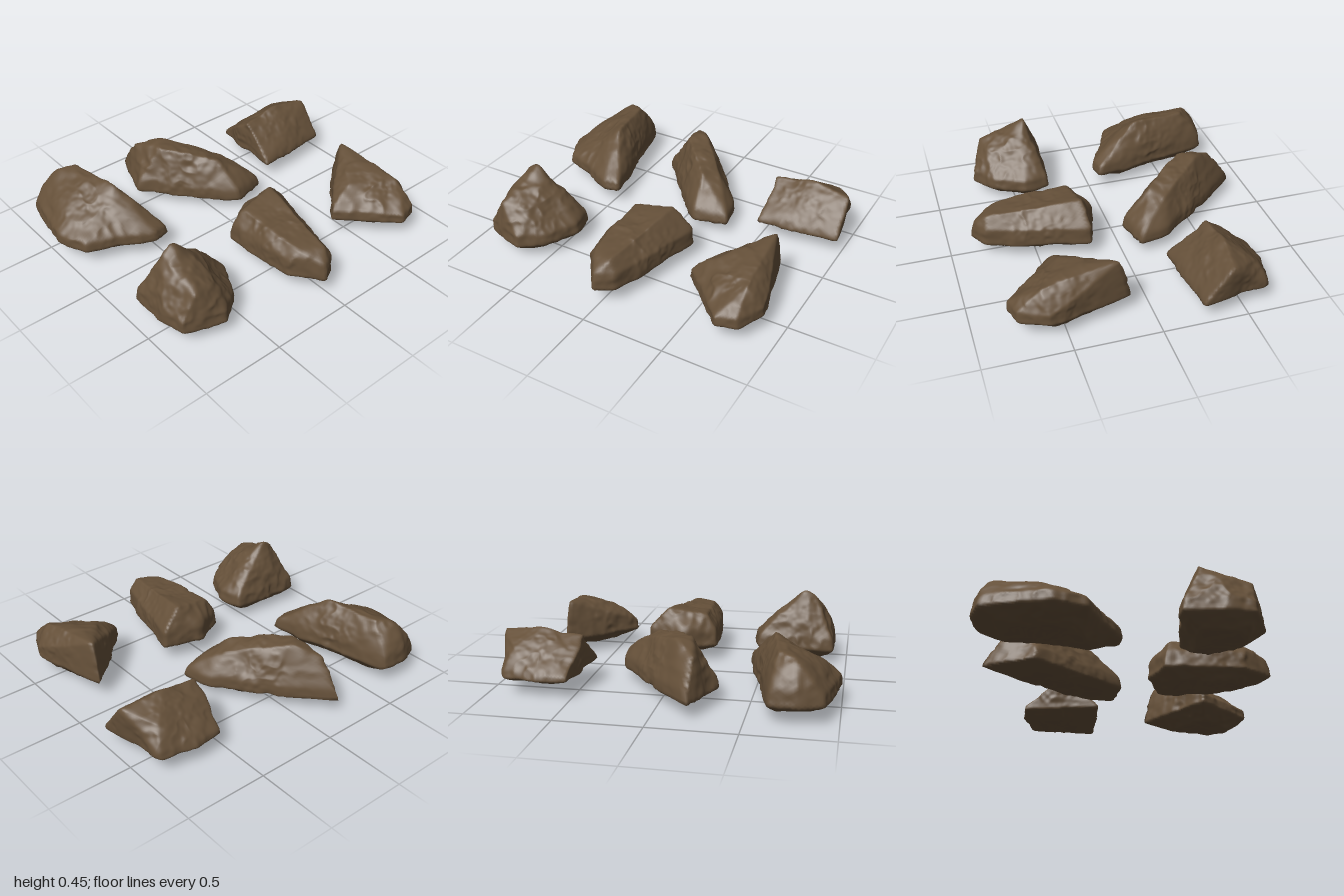
import * as THREE from 'three';
import { mergeVertices } from 'three/addons/utils/BufferGeometryUtils.js';
import { ConvexGeometry } from 'three/addons/geometries/ConvexGeometry.js';

const CORE_HEIGHT = 0.18;

// Seeded lattice noise, -1..1
function hash(x, y, z) {
  const s = Math.sin(x * 127.1 + y * 311.7 + z * 74.7) * 43758.5;
  return (s - Math.floor(s)) * 2 - 1;
}
function noise(p, frequency) {
  const [x, y, z] = p.toArray().map((c) => c * frequency);
  const [i, j, k] = [x, y, z].map(Math.floor);
  const ease = (t) => t * t * (3 - 2 * t), mix = THREE.MathUtils.lerp;
  const row = (b, c) => mix(hash(i, b, c), hash(i + 1, b, c), ease(x - i));
  const layer = (c) => mix(row(j, c), row(j + 1, c), ease(y - j));
  return mix(layer(k), layer(k + 1), ease(z - k));
}

// Corners of a rock: plan outline (x, z) as a band around the waist, a smaller copy at the base, ridge points on top
function rockCorners(core, [base, waist, band], outline, ridge) {
  const ring = (y, inset) => outline.map(([x, z]) => new THREE.Vector3(x, y, z).lerp(core, inset).setY(y));
  const top = ridge.map((p) => new THREE.Vector3(...p));
  return [...ring(base, 0.45), ...ring(waist, 0), ...ring(waist + band, 0.03), ...top];
}

// Face planes (normal, distance from the core) of the convex hull
function hullPlanes(points, core) {
  const p = new ConvexGeometry(points).attributes.position, planes = [];
  for (let i = 0; i < p.count; i += 3) {
    const [a, b, c] = [0, 1, 2].map((k) => new THREE.Vector3().fromBufferAttribute(p, i + k));
    const plane = new THREE.Plane().setFromCoplanarPoints(a, b, c);
    planes.push({ n: plane.normal, d: Math.max(0.015, -plane.distanceToPoint(core)) });
  }
  return planes;
}

// Distance from the core to the hull along a direction, with slightly rounded edges
function reach(planes, dir) {
  const sum = planes.reduce((s, { n, d }) => s + Math.max(0, n.dot(dir) / d) ** 60, 0);
  return 1.025 / sum ** (1 / 60);
}

// One rock: a sphere pushed out onto its hull, then roughened
function makeRock(name, material, heights, outline, ridge) {
  const core = new THREE.Vector3(0, CORE_HEIGHT, 0);
  for (const [x, z] of outline) core.add(new THREE.Vector3(x, 0, z).divideScalar(outline.length));
  const planes = hullPlanes(rockCorners(core, heights, outline, ridge), core);
  const ball = new THREE.IcosahedronGeometry(1, 28);
  ball.deleteAttribute('normal');
  ball.deleteAttribute('uv');
  const geo = mergeVertices(ball, 1e-4);
  const pos = geo.attributes.position;
  for (let i = 0; i < pos.count; i++) {
    const dir = new THREE.Vector3().fromBufferAttribute(pos, i).normalize();
    const q = core.clone().addScaledVector(dir, reach(planes, dir));
    const bumps = 0.014 * noise(q, 8) - 0.01 * Math.abs(noise(q, 15)) + 0.003 * noise(q, 36);
    q.addScaledVector(dir, bumps + 0.003);
    pos.setXYZ(i, q.x, q.y, q.z);
  }
  geo.computeVertexNormals();
  const mesh = new THREE.Mesh(geo, material);
  mesh.name = name;
  return mesh;
}

export function createModel() {
  const stone = new THREE.MeshStandardMaterial({ color: 0x655039 });
  stone.name = 'brown stone';
  const group = new THREE.Group();
  group.name = 'rocks';

  // Back row: heights are base, waist and band thickness
  group.add(makeRock('broadBackRock', stone, [0.02, 0.1, 0.06],
    [[-0.77, -0.87], [-0.62, -0.84], [-0.5, -0.3], [-0.44, -0.06], [-0.54, -0.03], [-0.92, -0.23], [-1, -0.4], [-0.92, -0.8]],
    [[-0.76, 0.35, -0.75], [-0.66, 0.36, -0.68], [-0.62, 0.36, -0.35], [-0.85, 0.26, -0.4]]));
  group.add(makeRock('longBackRock', stone, [0.05, 0.08, 0.06],
    [[-0.2, -0.86], [-0.12, -0.78], [0.28, -0.28], [0.32, -0.1], [0.11, -0.04], [-0.33, -0.54]],
    [[-0.2, 0.31, -0.7], [-0.17, 0.36, -0.5], [-0.08, 0.36, -0.58], [0.08, 0.31, -0.22], [0.17, 0.28, -0.29]]));
  group.add(makeRock('wedgeBackRock', stone, [0.06, 0.1, 0.03],
    [[0.52, -0.68], [0.7, -0.7], [0.9, -0.65], [0.98, -0.24], [0.48, -0.19]],
    [[0.5, 0.31, -0.42], [0.72, 0.34, -0.44], [0.97, 0.32, -0.4], [0.86, 0.26, -0.58]]));

  // Front row
  group.add(makeRock('peakedFrontRock', stone, [0.01, 0.09, 0.07],
    [[-0.91, 0.28], [-0.8, 0.26], [-0.45, 0.29], [-0.41, 0.45], [-0.52, 0.64], [-0.65, 0.74], [-0.89, 0.67], [-0.93, 0.52]],
    [[-0.8, 0.41, 0.38], [-0.72, 0.44, 0.38], [-0.66, 0.4, 0.4], [-0.54, 0.28, 0.36], [-0.8, 0.31, 0.66], [-0.66, 0.29, 0.64]]));
  group.add(makeRock('taperedFrontRock', stone, [0.04, 0.1, 0.1],
    [[0, 0.12], [0.25, 0.19], [0.19, 0.42], [0.09, 0.8], [-0.02, 0.87], [-0.16, 0.7], [-0.19, 0.22]],
    [[-0.12, 0.3, 0.25], [0.12, 0.33, 0.23], [0.04, 0.27, 0.76], [-0.09, 0.27, 0.72]]));
  group.add(makeRock('pointedFrontRock', stone, [0.04, 0.11, 0.06],
    [[0.78, 0.11], [0.83, 0.4], [0.9, 0.6], [0.82, 0.77], [0.7, 0.8], [0.38, 0.49]],
    [[0.77, 0.35, 0.18], [0.72, 0.33, 0.38], [0.56, 0.29, 0.47], [0.8, 0.29, 0.62]]));
  return group;
}
